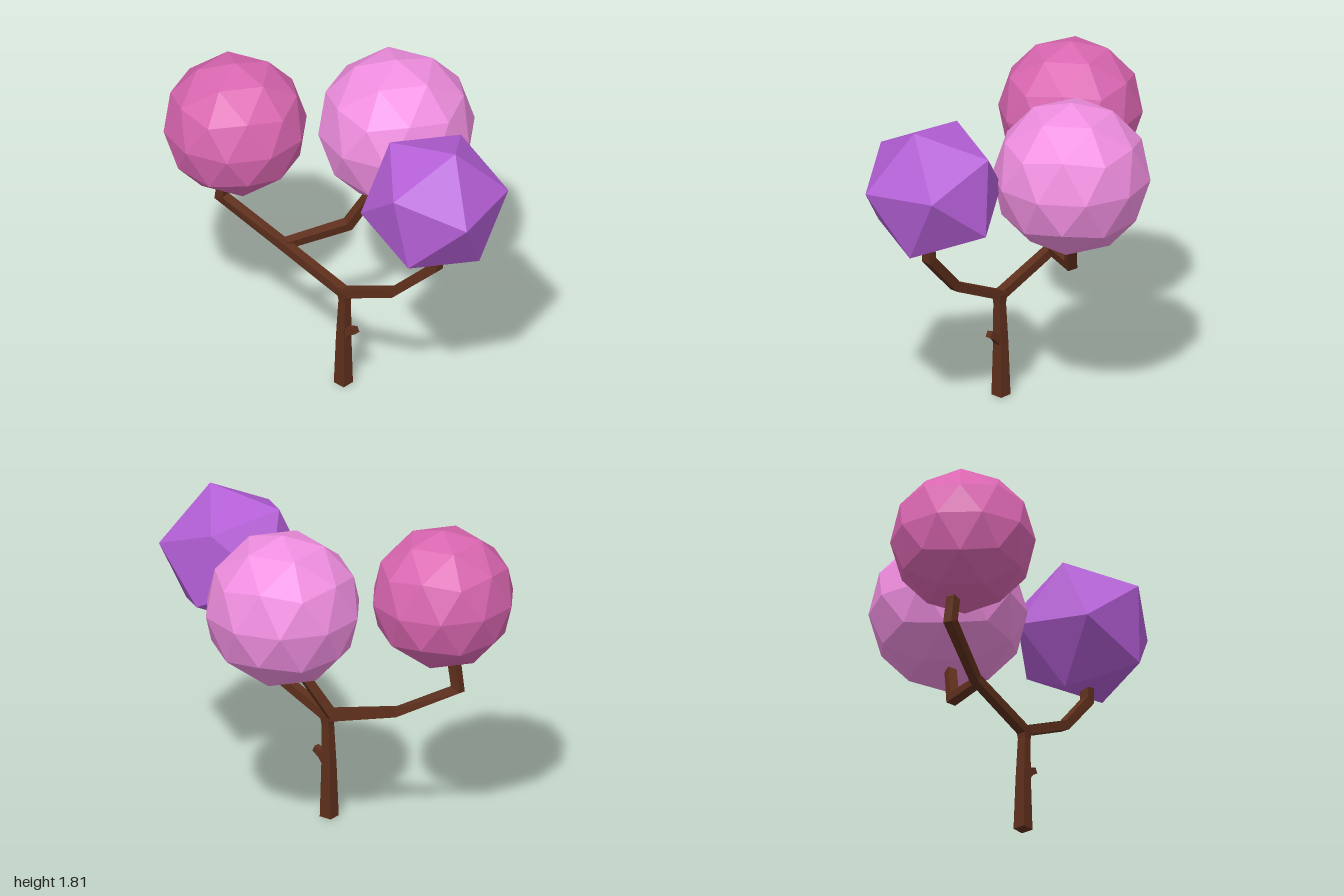
import * as THREE from 'three';

const V = (x, y, z) => new THREE.Vector3(x, y, z);
const flat = (color) => new THREE.MeshStandardMaterial({ color, flatShading: true });

// Square-section limb through points [x, y, z, halfWidth], mitred at each bend.
// "hint" is the direction across the plane in which the limb bends.
function limbGeometry(points, hint) {
  const p = points.map(([x, y, z]) => V(x, y, z));
  const last = p.length - 1;
  const position = [], index = [];
  p.forEach((c, i) => {
    const into = p[Math.max(i, 1)].clone().sub(p[Math.max(i, 1) - 1]).normalize();
    const out = p[Math.min(i + 1, last)].clone().sub(p[Math.min(i + 1, last) - 1]).normalize();
    const t = into.clone().add(out).normalize();
    const h = points[i][3];
    const a = t.clone().cross(hint).normalize();
    const b = t.clone().cross(a).multiplyScalar(h);
    a.multiplyScalar(h / t.dot(into));
    for (const [u, v] of [[1, 1], [-1, 1], [-1, -1], [1, -1]]) {
      position.push(...c.clone().addScaledVector(a, u).addScaledVector(b, v).toArray());
    }
  });
  for (let i = 0; i < last; i++) {
    for (let k = 0; k < 4; k++) {
      const a = i * 4 + k, b = i * 4 + (k + 1) % 4;
      index.push(a, b, b + 4, a, b + 4, a + 4);
    }
  }
  const e = last * 4;
  index.push(0, 2, 1, 0, 3, 2, e, e + 1, e + 2, e, e + 2, e + 3);
  const g = new THREE.BufferGeometry();
  g.setAttribute('position', new THREE.Float32BufferAttribute(position, 3));
  g.setIndex(index);
  const faceted = g.toNonIndexed();
  faceted.computeVertexNormals();
  return faceted;
}

export function createModel() {
  const tree = new THREE.Group();
  tree.name = 'tree';
  const bark = flat(0x5e2f1c);

  const add = (name, geometry, material) => {
    const mesh = new THREE.Mesh(geometry, material);
    mesh.name = name;
    tree.add(mesh);
    return mesh;
  };
  const limb = (name, points, hint = V(0, 0, 1)) => add(name, limbGeometry(points, hint), bark);

  // Trunk and branches
  limb('trunk', [
    [0.035, 0, 0.19, 0.036], [0.037, 0.3, 0.19, 0.029],
    [0.045, 0.53, 0.19, 0.024], [0.045, 0.59, 0.19, 0.03],
  ]);
  limb('twig', [
    [0.04, 0.3, 0.19, 0.022], [0.08, 0.35, 0.19, 0.021], [0.128, 0.374, 0.19, 0.017],
  ]);
  limb('leftBranch', [
    [0.03, 0.573, 0.19, 0.026], [0.39, 0.737, 0.185, 0.025],
    [0.652, 0.99, 0.132, 0.026], [0.658, 1.09, 0.128, 0.026],
  ]);
  limb('rightBranch', [
    [0.06, 0.573, 0.19, 0.026], [-0.4, 0.715, 0.215, 0.025],
    [-0.735, 0.905, 0.312, 0.026], [-0.705, 1.09, 0.312, 0.026],
  ]);
  limb('backBranch', [
    [-0.37, 0.712, 0.205, 0.024], [-0.2, 0.762, -0.1, 0.026], [-0.07, 1.04, -0.222, 0.024],
  ], V(0.89, -0.2, 0.46));

  // Round crowns: subdivided icosahedra standing on a corner
  const golden = (1 + Math.sqrt(5)) / 2;
  const crown = (name, radius, center, color) => {
    const g = new THREE.IcosahedronGeometry(radius, 1);
    g.rotateZ(-Math.atan(1 / golden));
    add(name, g, flat(color)).position.copy(center);
  };
  crown('rightCrown', 0.388, V(-0.633, 1.41, 0.315), 0xd966b0);
  crown('backCrown', 0.424, V(-0.015, 1.385, -0.28), 0xf08ee0);

  // Faceted crown: plain icosahedron, tilted by the directions of two adjacent corners
  const a = V(0.15, 0.365, 0).normalize();
  const c = V(0.37, 0.045, 0.147).normalize();
  const x = c.clone().sub(a).normalize();
  const y = c.clone().add(a).normalize();
  const tilt = new THREE.Matrix4().makeBasis(x, y, x.clone().cross(y));
  const faceted = add('leftCrown', new THREE.IcosahedronGeometry(0.4, 0), flat(0xb45fd6));
  faceted.quaternion.setFromRotationMatrix(tilt);
  faceted.position.set(0.63, 1.39, 0.12);

  return tree;
}
